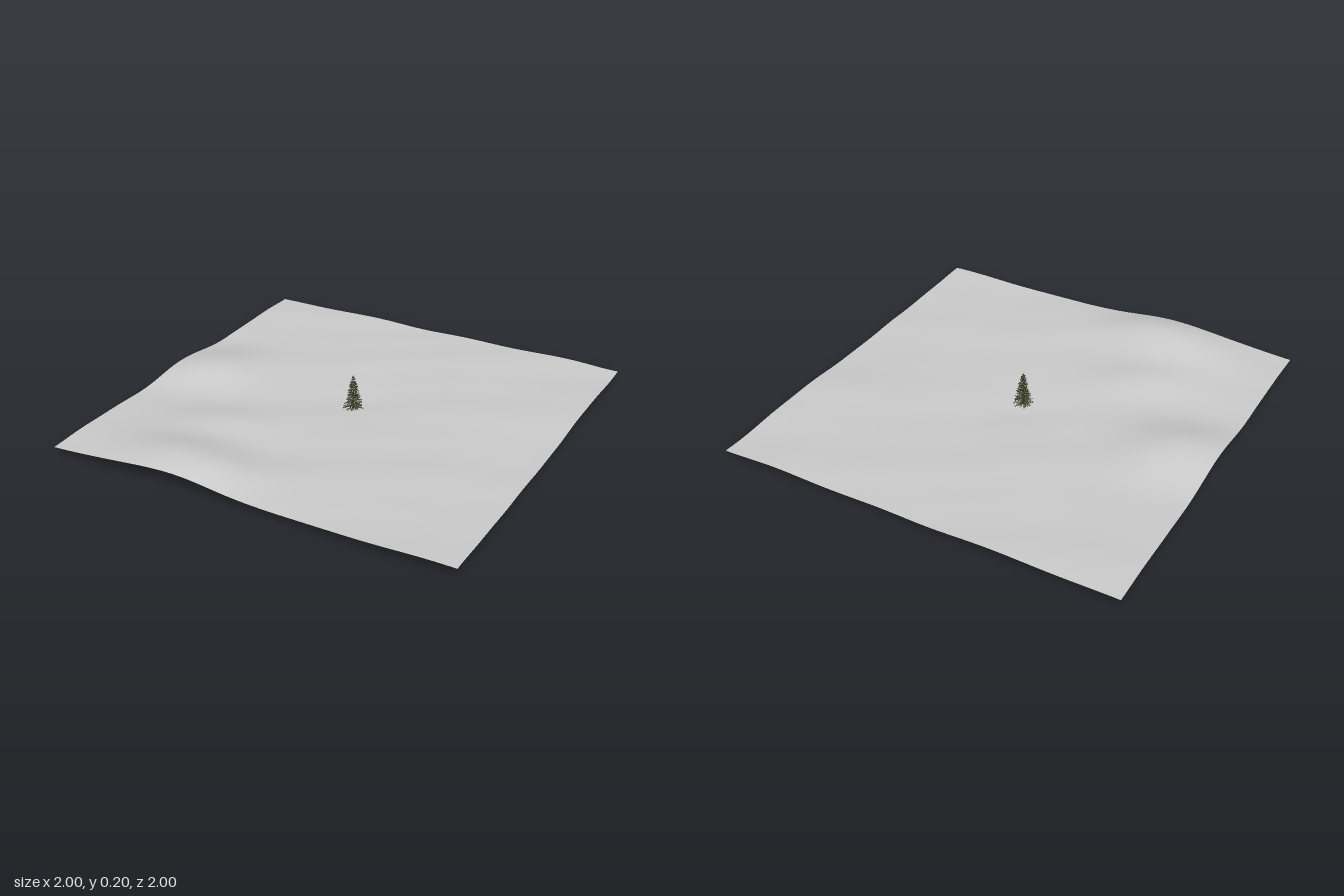
import * as THREE from 'three';
import { mergeGeometries } from 'three/addons/utils/BufferGeometryUtils.js';

const snow = new THREE.MeshStandardMaterial({ color: 0xcccccc, side: THREE.DoubleSide });
snow.name = 'pale ground';
const needle = new THREE.MeshStandardMaterial({ color: 0x31381f, side: THREE.DoubleSide });
needle.name = 'dark needles';
const bark = new THREE.MeshStandardMaterial({ color: 0x43382a });
bark.name = 'bark';

// Small seeded random source
function seeded(seed) {
  return () => {
    seed = (seed * 1664525 + 1013904223) % 4294967296;
    return seed / 4294967296;
  };
}

// Hills and hollows: x, z, height, spread along x, spread along z, tilt
const mounds = [
  [-0.4, 0.85, 0.068, 0.25, 0.15, 0],
  [-0.45, 0.47, 0.022, 0.22, 0.1, 0.35],
  [-0.82, 0, 0.048, 0.18, 0.14, 0.35],
  [0, -0.02, -0.013, 0.16, 0.14, 0.3],
  [1, 0.1, -0.011, 0.15, 0.25, 0],
  [0.95, -0.95, -0.008, 0.12, 0.12, 0],
];

function groundHeight(x, z) {
  let y = 0.036;
  for (const [cx, cz, h, sx, sz, tilt] of mounds) {
    const dx = x - cx, dz = z - cz;
    const u = (dx * Math.cos(tilt) - dz * Math.sin(tilt)) / sx;
    const v = (dx * Math.sin(tilt) + dz * Math.cos(tilt)) / sz;
    y += h * Math.exp(-0.5 * (u * u + v * v));
  }
  // Gentle drift ripples
  y += 0.0025 * Math.sin(5 * x + 9 * z + 0.6) + 0.002 * Math.sin(11 * x - 4 * z + 2);
  y += 0.001 * Math.sin(9 * x + 19 * z + 1.3 * Math.sin(4 * x));
  return y;
}

function makeGround() {
  const geo = new THREE.PlaneGeometry(2, 2, 80, 80).rotateX(-Math.PI / 2);
  const p = geo.attributes.position;
  for (let i = 0; i < p.count; i++) p.setY(i, groundHeight(p.getX(i), p.getZ(i)));
  geo.computeVertexNormals();
  const ground = new THREE.Mesh(geo, snow);
  ground.name = 'ground';
  return ground;
}

// One flat pointed needle spray lying along +x
function spray(length, width) {
  const s = new THREE.Shape();
  s.moveTo(0, 0);
  s.lineTo(length * 0.45, width / 2);
  s.lineTo(length, 0);
  s.lineTo(length * 0.45, -width / 2);
  return new THREE.ShapeGeometry(s).rotateX(-Math.PI / 2);
}

function makeTree() {
  const tree = new THREE.Group();
  tree.name = 'conifer';
  const rnd = seeded(17);
  const twigs = [], sprays = [];
  const tiers = 22, bottom = 0.022, top = 0.19;

  for (let t = 0; t < tiers; t++) {
    const f = t / (tiers - 1);
    const y = bottom + (top - bottom) * f;
    const reach = 0.006 + 0.042 * Math.pow(1 - f, 0.9);
    const count = Math.round(12 - 6 * f);
    for (let b = 0; b < count; b++) {
      const len = reach * (0.7 + 0.5 * rnd());
      const pose = new THREE.Matrix4()
        .makeRotationY(t * 2.4 + ((b + 0.6 * rnd()) / count) * Math.PI * 2)
        .multiply(new THREE.Matrix4().makeRotationZ(-0.28 + 0.45 * f + 0.25 * (rnd() - 0.5)))
        .setPosition(0, y + 0.006 * (rnd() - 0.5), 0);

      // Twig
      twigs.push(new THREE.CylinderGeometry(0.0002, 0.0007, len, 3, 1, true)
        .rotateZ(-Math.PI / 2).translate(len / 2, 0, 0).applyMatrix4(pose));

      // Side sprays in pairs, and one at the tip
      for (let k = 0; k < 4; k++) {
        const along = len * (0.35 + 0.18 * k);
        for (const side of [-1, 1]) {
          sprays.push(spray(0.004 + 0.22 * len * (1 - 0.15 * k), 0.0035)
            .rotateX(rnd() * 2 - 1)
            .rotateY(side * (0.6 + 0.4 * rnd()))
            .translate(along, 0, 0).applyMatrix4(pose));
        }
      }
      sprays.push(spray(len * 0.35, 0.004).rotateX(rnd() * 3)
        .translate(len * 0.75, 0, 0).applyMatrix4(pose));
    }
  }
  // Upright leader
  for (let i = 0; i < 3; i++) {
    sprays.push(spray(0.018, 0.005).rotateZ(Math.PI / 2)
      .rotateY(i * Math.PI / 3).translate(0, 0.184, 0));
  }

  const trunk = new THREE.Mesh(
    new THREE.CylinderGeometry(0.0006, 0.005, 0.195, 8).translate(0, 0.0975, 0), bark);
  trunk.name = 'trunk';
  const branches = new THREE.Mesh(mergeGeometries(twigs), bark);
  branches.name = 'branches';
  const foliage = new THREE.Mesh(mergeGeometries(sprays), needle);
  foliage.name = 'foliage';
  tree.add(trunk, branches, foliage);
  return tree;
}

export function createModel() {
  const model = new THREE.Group();
  model.name = 'treeOnHillyGround';
  model.add(makeGround(), makeTree());
  return model;
}
